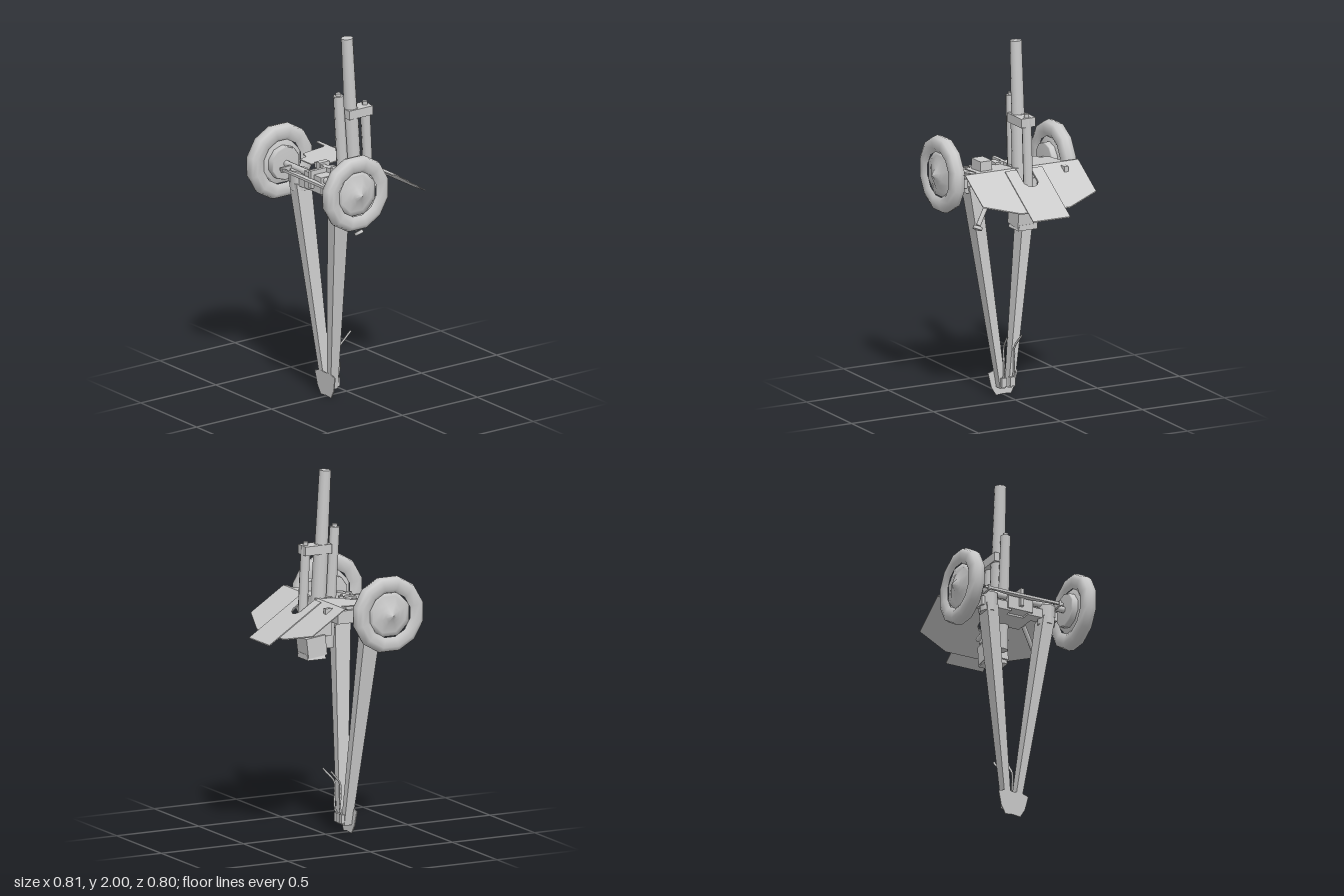
import * as THREE from 'three';

const grey = new THREE.MeshStandardMaterial({ color: 0xcacaca });
grey.name = 'painted metal';
const V = (x, y, z) => new THREE.Vector3(x, y, z);

export function createModel() {
  const root = new THREE.Group();
  root.name = 'fieldGun';

  const add = (name, geo, parent = root) => {
    const m = new THREE.Mesh(geo, grey);
    m.name = name;
    parent.add(m);
    return m;
  };
  const box = (name, x0, x1, y0, y1, z0, z1) => add(name,
    new THREE.BoxGeometry(x1 - x0, y1 - y0, z1 - z0).translate((x0 + x1) / 2, (y0 + y1) / 2, (z0 + z1) / 2));
  // Round bar from a to b
  const rod = (name, a, b, ra, rb = ra, n = 8) => {
    const d = b.clone().sub(a);
    const g = new THREE.CylinderGeometry(rb, ra, d.length(), n);
    g.applyQuaternion(new THREE.Quaternion().setFromUnitVectors(V(0, 1, 0), d.normalize()));
    const c = a.clone().add(b).multiplyScalar(0.5);
    return add(name, g.translate(c.x, c.y, c.z));
  };
  // Box tapering between two rectangles [x0, x1, z0, z1] at heights y0 and y1
  const taper = (name, y0, r0, y1, r1) => {
    const g = new THREE.BoxGeometry(1, 1, 1).toNonIndexed();
    const p = g.attributes.position;
    for (let i = 0; i < p.count; i++) {
      const up = p.getY(i) > 0, r = up ? r1 : r0;
      p.setXYZ(i, p.getX(i) > 0 ? r[1] : r[0], up ? y1 : y0, p.getZ(i) > 0 ? r[3] : r[2]);
    }
    g.computeVertexNormals();
    return add(name, g);
  };
  // Thin plate from an x,z outline, lifted to height(z)
  const plate = (name, pts, height, t = 0.006) => {
    const s = new THREE.Shape(pts.map(([x, z]) => new THREE.Vector2(x, -z)));
    const g = new THREE.ExtrudeGeometry(s, { depth: t, bevelEnabled: false });
    g.rotateX(-Math.PI / 2);
    const p = g.attributes.position;
    for (let i = 0; i < p.count; i++) p.setY(i, p.getY(i) + height(p.getZ(i)));
    g.computeVertexNormals();
    return add(name, g);
  };

  // Barrel, breech and cradle
  rod('barrel', V(0, 1.56, -0.028), V(0, 2, -0.003), 0.036, 0.032, 12);
  rod('barrelJacket', V(0, 1.08, -0.058), V(0, 1.6, -0.026), 0.042, 0.04, 12);
  taper('cradle', 1.1, [-0.045, 0.045, -0.1, 0.01], 1.31, [-0.042, 0.042, -0.08, 0.02]);
  const breech = add('breech', new THREE.BoxGeometry(0.12, 0.11, 0.115));
  breech.position.set(0, 1.05, -0.085);
  breech.rotation.x = -0.12;
  taper('breechStep', 0.98, [-0.06, 0.06, -0.14, -0.03], 1.01, [-0.05, 0.05, -0.14, -0.03]);
  rod('recuperator', V(0, 1.03, 0.012), V(0, 1.685, 0.055), 0.034, 0.028);
  rod('recuperatorCap', V(0, 1.68, 0.055), V(0, 1.7, 0.056), 0.015);
  rod('recoilCylinder', V(0, 1.14, -0.145), V(0, 1.6, -0.122), 0.027);
  rod('recoilCap', V(0, 1.59, -0.122), V(0, 1.62, -0.121), 0.014);
  box('tubeClamp', -0.044, 0.044, 1.55, 1.6, -0.145, 0.015);
  box('lowerClamp', -0.04, 0.04, 1.13, 1.19, -0.17, -0.05);

  // Sloping shield with a slot for the barrel
  const slope = z => 1.305 + 0.65 * (Math.min(z, -0.07) + 0.07);
  const slot = [[0.043, -0.07], [0.043, -0.175], [0.025, -0.195], [0, -0.2],
    [-0.025, -0.195], [-0.043, -0.175], [-0.043, -0.07]];
  plate('shield', [[-0.345, -0.07], [-0.345, -0.268], [-0.15, -0.338], [0.15, -0.338],
    [0.345, -0.268], [0.345, -0.07], ...slot], slope);
  plate('shieldCentrePanel', [[-0.113, -0.09], [-0.113, -0.404], [0.113, -0.404], [0.113, -0.09],
    ...slot.map(([x, z]) => [x, Math.min(z, -0.09)])], z => slope(z) + 0.009);
  for (const s of [-1, 1]) {
    plate('shieldLowerPanel', [[0.043, -0.07], [0.345, -0.07], [0.345, -0.053], [0.27, -0.05], [0.26, -0.04],
      [0.258, 0.1], [0.21, 0.112], [0.205, 0.16], [0.1, 0.16], [0.1, 0.11], [0.043, 0.08]]
      .map(([x, z]) => [s * x, z]), z => 1.305 - Math.max(0, z + 0.07) * 0.08);
  }
  box('toolBox', 0.16, 0.23, 1.29, 1.36, -0.03, 0.072);
  box('sightHatch', -0.25, -0.225, 1.27, 1.3, -0.135, -0.095);

  // Axle, saddle and cross bar
  rod('axle', V(-0.3, 1.255, 0.195), V(0.3, 1.255, 0.195), 0.018);
  box('saddle', -0.075, 0.075, 1.18, 1.275, 0.14, 0.225);
  box('saddleBase', -0.1, 0.1, 1.17, 1.24, 0.02, 0.16);
  box('saddleFin', -0.01, 0.01, 1.2, 1.3, 0.08, 0.245);
  box('trunnionBar', -0.1, 0.1, 1.27, 1.3, 0.115, 0.14);
  plate('crossBar', [[-0.24, 0.265], [-0.06, 0.24], [0.06, 0.24], [0.24, 0.265], [0.24, 0.27], [-0.24, 0.27]],
    () => 1.243, 0.014);

  for (const s of [-1, 1]) {
    const side = s > 0 ? 'left' : 'right';
    // Wheel with dished disc, hub and brake drum
    const wheel = new THREE.Group();
    wheel.name = side + 'Wheel';
    wheel.position.set(s * 0.34, 1.255, 0.195);
    wheel.rotation.y = s > 0 ? 0 : Math.PI;
    root.add(wheel);
    const lathe = (name, pts, n) => add(name, new THREE.LatheGeometry(
      pts.map(([r, y]) => new THREE.Vector2(r, y)), n, Math.PI / n).rotateZ(-Math.PI / 2), wheel);
    lathe('tyre', [[0.125, -0.025], [0.145, -0.038], [0.18, -0.04], [0.204, -0.028], [0.212, 0],
      [0.204, 0.028], [0.18, 0.04], [0.145, 0.038], [0.125, 0.022]], 12);
    lathe('wheelDisc', [[0, -0.025], [0.127, -0.025], [0.127, 0.02], [0.105, 0.012], [0.06, 0.035],
      [0.035, 0.038], [0, 0.065]], 8);
    lathe('brakeDrum', [[0, -0.062], [0.09, -0.062], [0.095, -0.056], [0.095, -0.02]], 10);

    // Trail leg with its hinge
    const rect = (a, b, z0, z1) => s > 0 ? [a, b, z0, z1] : [-b, -a, z0, z1];
    taper(side + 'Trail', 0.05, rect(0.008, 0.043, 0.09, 0.138), 1.18, rect(0.138, 0.208, 0.132, 0.23));
    rod('trailHinge', V(s * 0.175, 1.14, 0.185), V(s * 0.175, 1.25, 0.185), 0.05);
    box('hingeArm', Math.min(s * 0.05, s * 0.23), Math.max(s * 0.05, s * 0.23), 1.17, 1.22, 0.15, 0.215);
    box('barBracket', s * 0.216 - 0.006, s * 0.216 + 0.006, 1.235, 1.265, 0.2, 0.275);

    // Elevating gear and shield stays
    box('gearBox', s * 0.062 - 0.017, s * 0.062 + 0.017, 1.2, 1.31, 0.08, 0.145);
    rod('shieldStay', V(s * 0.05, 1.22, 0.08), V(s * 0.05, 1.15, -0.165), 0.012, 0.012, 6);

    // Hand spike at the trail end
    const path = new THREE.CatmullRomCurve3([V(s * 0.028, 0.1, 0.085), V(s * 0.03, 0.14, 0.072),
      V(s * 0.033, 0.28, 0.072), V(s * 0.038, 0.31, 0.05), V(s * 0.045, 0.36, 0.005)]);
    add('handSpike', new THREE.TubeGeometry(path, 10, 0.006, 5));
    box('trailEndLug', s * 0.026 - 0.016, s * 0.026 + 0.016, 0.06, 0.11, 0.075, 0.1);

    // Spade halves
    const spade = new THREE.Shape([[0, 0.01], [0.045, 0.005], [0.072, 0.05], [0.09, 0.13], [0.04, 0.145], [0, 0.14]]
      .map(([x, y]) => new THREE.Vector2(s * x, y)));
    const g = new THREE.ExtrudeGeometry(spade, { depth: 0.006, bevelEnabled: false });
    const p = g.attributes.position;
    for (let i = 0; i < p.count; i++) p.setZ(i, p.getZ(i) + 0.132 + 0.06 * p.getY(i));
    g.computeVertexNormals();
    add('spade', g);
  }

  // Handwheel on its shaft
  rod('handwheelShaft', V(0.08, 1.15, 0.11), V(0.19, 0.98, 0.067), 0.013);
  rod('handwheel', V(0.192, 0.975, 0.066), V(0.2, 0.96, 0.062), 0.026, 0.026, 10);

  return root;
}
